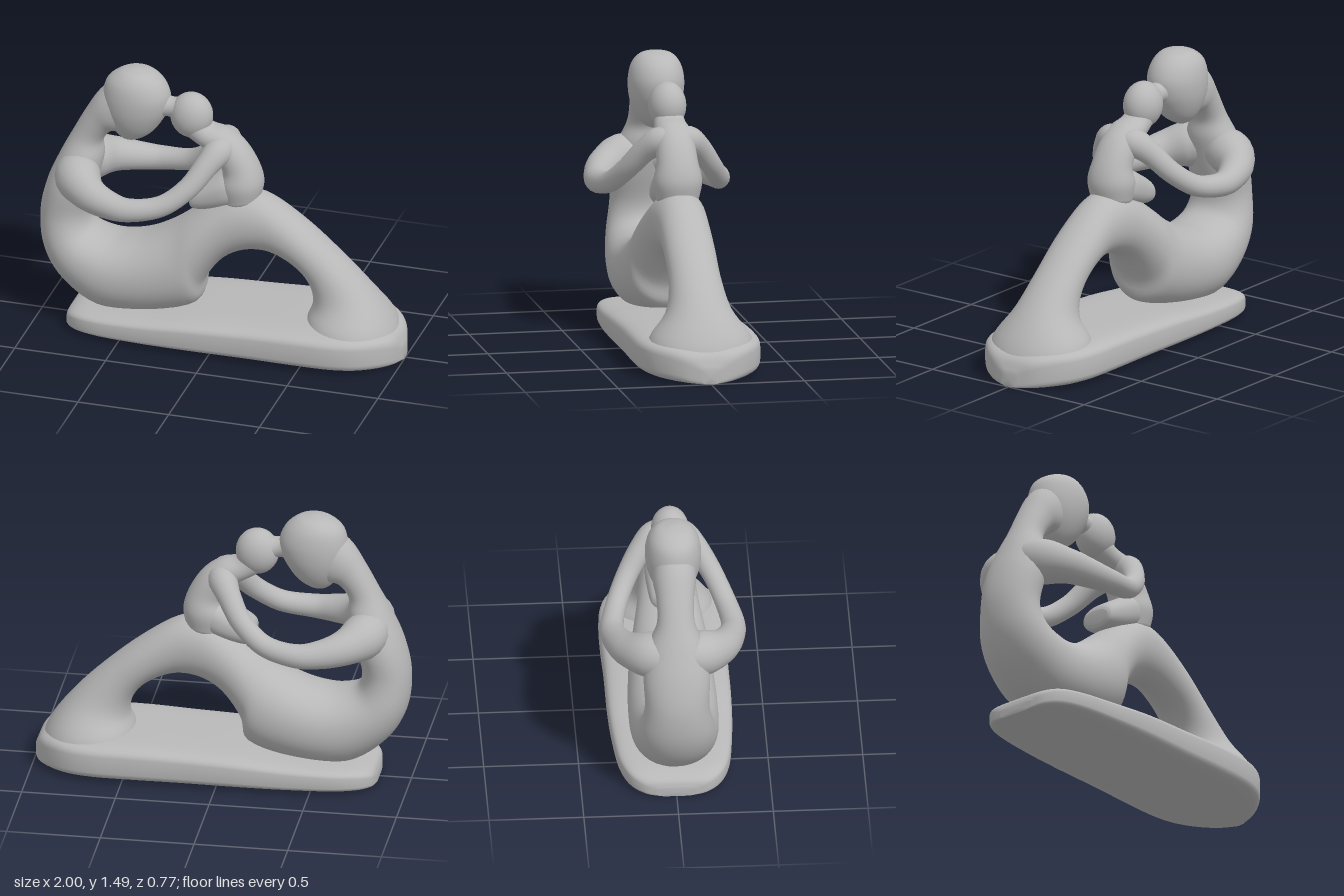
import * as THREE from 'three';

const stone = new THREE.MeshStandardMaterial({ color: 0xb8b8b8 });
stone.name = 'grey stone';
const V = (x, y, z) => new THREE.Vector3(x, y, z);
const spline = (pts) => new THREE.CatmullRomCurve3(pts, false, 'catmullrom', 0.5);

// Skins equal-sized rings of points into a closed surface facing outward
function skin(rings) {
  const n = rings[0].length, last = (rings.length - 1) * n;
  const pts = rings.flat(), idx = [];
  const mid = (ring) => ring.reduce((s, p) => s.add(p), V(0, 0, 0)).divideScalar(n);
  const a = pts.push(mid(rings[0])) - 1;
  const b = pts.push(mid(rings[rings.length - 1])) - 1;
  for (let j = 0; j < n; j++) {
    const k = (j + 1) % n;
    for (let i = 0; i < last; i += n) {
      idx.push(i + j, i + k, i + n + j, i + k, i + n + k, i + n + j);
    }
    idx.push(a, k, j, b, last + j, last + k);
  }
  let volume = 0;
  for (let i = 0; i < idx.length; i += 3) {
    volume += pts[idx[i]].dot(V(0, 0, 0).crossVectors(pts[idx[i + 1]], pts[idx[i + 2]]));
  }
  if (volume < 0) idx.reverse();
  const g = new THREE.BufferGeometry().setFromPoints(pts);
  g.setIndex(idx);
  g.computeVertexNormals();
  return g;
}

// Body lofted between two outlines; station = [outer x, y, inner x, y, half width in z]
function loft(stations, power, steps = 5, sides = 40) {
  const outer = spline(stations.map((s) => V(s[0], s[1], s[4])));
  const inner = spline(stations.map((s) => V(s[2], s[3], s[4])));
  const round = (v) => Math.sign(v) * Math.abs(v) ** (2 / power);
  const count = (stations.length - 1) * steps, rings = [];
  for (let i = 0; i <= count; i++) {
    const o = outer.getPoint(i / count), q = inner.getPoint(i / count);
    rings.push(Array.from({ length: sides }, (_, j) => {
      const t = (j / sides) * Math.PI * 2, u = 0.5 + round(Math.cos(t)) / 2;
      return V(o.x + (q.x - o.x) * u, o.y + (q.y - o.y) * u, o.z * round(Math.sin(t)));
    }));
  }
  return skin(rings);
}

// Round limb of varying thickness; point = [x, y, z, radius]
function limb(points, steps = 6, sides = 20) {
  const path = spline(points.map((p) => V(p[0], p[1], p[2])));
  const size = spline(points.map((p, i) => V(p[3], i, 0)));
  const count = (points.length - 1) * steps, rings = [];
  for (let i = 0; i <= count; i++) {
    const t = i / count, c = path.getPoint(t), r = size.getPoint(t).x;
    const dir = path.getTangent(t);
    const side = V(0, 0, 0).crossVectors(dir, V(0, 1, 0)).normalize();
    const up = V(0, 0, 0).crossVectors(side, dir);
    rings.push(Array.from({ length: sides }, (_, j) => {
      const f = (j / sides) * Math.PI * 2;
      return c.clone().addScaledVector(side, r * Math.cos(f)).addScaledVector(up, r * Math.sin(f));
    }));
  }
  return skin(rings);
}

export function createModel() {
  const model = new THREE.Group();
  model.name = 'sculpture';
  const add = (name, geometry) => {
    const mesh = new THREE.Mesh(geometry, stone);
    mesh.name = name;
    model.add(mesh);
    return mesh;
  };

  // Base slab, rising slightly towards the feet: [x, top, half width]
  const slab = [
    [-0.83, 0.05, 0.1], [-0.81, 0.09, 0.18], [-0.74, 0.12, 0.25], [-0.6, 0.135, 0.295],
    [-0.35, 0.155, 0.32], [-0.1, 0.18, 0.33], [0.2, 0.195, 0.33], [0.45, 0.205, 0.335],
    [0.66, 0.205, 0.33], [0.8, 0.2, 0.295], [0.9, 0.185, 0.225], [0.965, 0.15, 0.14], [0.998, 0.08, 0.04],
  ];
  add('base', loft(slab.map(([x, top, w]) => [x, 0, x, top, w]), 4.5));

  // Mother: neck, back, hips, thighs and lower legs in one sweep
  add('motherBody', loft([
    [-0.53, 1.46, -0.42, 1.16, 0.11],
    [-0.67, 1.35, -0.54, 1.12, 0.115],
    [-0.755, 1.22, -0.61, 1.11, 0.1],
    [-0.835, 1.07, -0.665, 1.04, 0.1],
    [-0.9, 0.94, -0.665, 0.94, 0.145],
    [-0.965, 0.78, -0.7, 0.78, 0.175],
    [-1.0, 0.6, -0.74, 0.62, 0.17],
    [-0.975, 0.4, -0.71, 0.53, 0.195],
    [-0.87, 0.23, -0.6, 0.5, 0.22],
    [-0.67, 0.1, -0.5, 0.515, 0.235],
    [-0.4, 0.1, -0.4, 0.55, 0.235],
    [-0.14, 0.18, -0.28, 0.62, 0.22],
    [-0.1, 0.31, -0.16, 0.71, 0.2],
    [0, 0.45, -0.03, 0.8, 0.17],
    [0.12, 0.52, 0.1, 0.86, 0.15],
    [0.26, 0.53, 0.25, 0.84, 0.135],
    [0.4, 0.47, 0.45, 0.71, 0.135],
    [0.48, 0.38, 0.65, 0.54, 0.14],
    [0.5, 0.28, 0.81, 0.375, 0.175],
    [0.47, 0.19, 0.935, 0.2, 0.27],
    [0.45, 0.05, 0.98, 0.05, 0.29],
  ], 2.1));

  // Mother's egg-shaped head, crown to chin
  add('motherHead', loft([
    [-0.5, 1.492, -0.46, 1.492, 0.02],
    [-0.57, 1.475, -0.39, 1.475, 0.085],
    [-0.635, 1.425, -0.33, 1.425, 0.128],
    [-0.66, 1.35, -0.298, 1.35, 0.147],
    [-0.66, 1.27, -0.308, 1.27, 0.145],
    [-0.64, 1.2, -0.342, 1.2, 0.128],
    [-0.605, 1.135, -0.385, 1.14, 0.098],
    [-0.565, 1.09, -0.435, 1.1, 0.062],
    [-0.52, 1.07, -0.485, 1.075, 0.02],
  ], 2));

  // Child: back, seat and folded legs
  add('childBody', loft([
    [-0.13, 1.28, -0.21, 1.15, 0.075],
    [-0.07, 1.225, -0.14, 1.11, 0.085],
    [0.02, 1.2, -0.07, 1.07, 0.098],
    [0.11, 1.135, -0.02, 1.01, 0.105],
    [0.18, 1.03, 0.0, 0.96, 0.112],
    [0.215, 0.92, -0.02, 0.89, 0.13],
    [0.2, 0.82, 0.0, 0.78, 0.11],
  ], 2.1));
  add('childLegs', loft([
    [-0.17, 0.76, -0.175, 0.83, 0.075],
    [-0.15, 0.73, -0.155, 0.865, 0.1],
    [-0.06, 0.74, -0.08, 0.915, 0.115],
    [0.04, 0.77, 0.02, 0.97, 0.122],
    [0.13, 0.81, 0.1, 0.97, 0.1],
  ], 2.3));
  const childHead = add('childHead', new THREE.SphereGeometry(1, 32, 22));
  childHead.position.set(-0.178, 1.26, 0);
  childHead.scale.set(0.115, 0.126, 0.1);

  // Touching foreheads
  add('foreheadBridge', limb([[-0.4, 1.3, 0, 0.1], [-0.295, 1.292, 0, 0.055], [-0.19, 1.28, 0, 0.09]]));

  // Embracing arms joining mother and child on each side
  const arm = [
    [-0.8, 0.88, 0, 0.1], [-0.765, 0.865, 0.13, 0.122], [-0.68, 0.84, 0.235, 0.096],
    [-0.56, 0.818, 0.295, 0.077], [-0.43, 0.812, 0.32, 0.064], [-0.26, 0.845, 0.288, 0.057],
    [-0.13, 0.94, 0.225, 0.057], [-0.05, 1.05, 0.145, 0.064], [-0.005, 1.105, 0.075, 0.076],
    [0.03, 1.11, 0, 0.06],
  ];
  for (const [name, s] of [['leftArms', 1], ['rightArms', -1]]) {
    add(name, limb(arm.map(([x, y, z, r]) => [x, y, z * s, r])));
  }
  return model;
}
